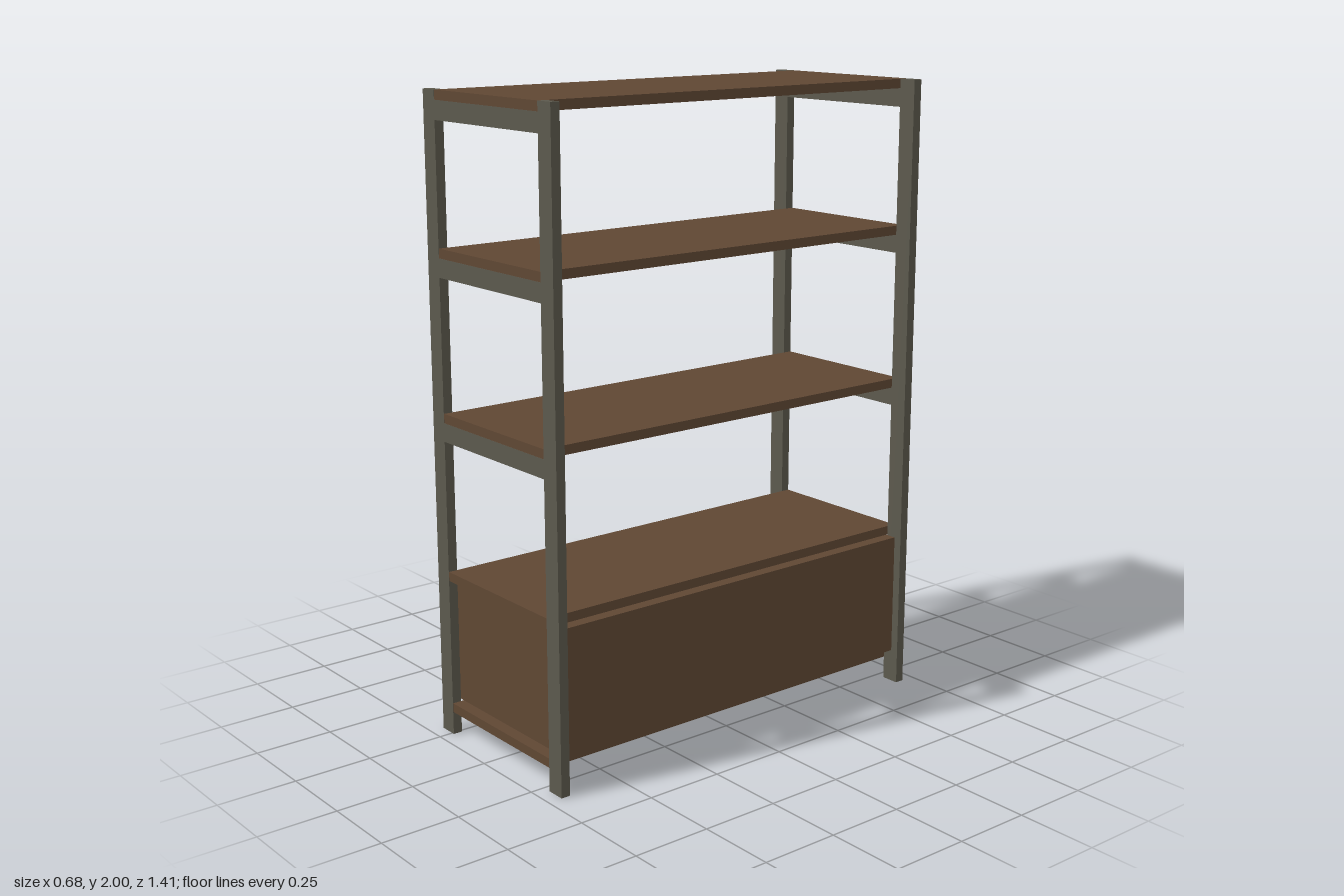
import * as THREE from 'three';

export function createModel() {
  const group = new THREE.Group();
  const wood = new THREE.MeshStandardMaterial({ color: 0x5f4733 });
  wood.name = 'dark wood';
  const steel = new THREE.MeshStandardMaterial({ color: 0x5c594d });
  steel.name = 'grey steel';

  // Box given by its lower and upper limits on each axis
  function box(name, material, [x0, x1], [y0, y1], [z0, z1]) {
    const mesh = new THREE.Mesh(new THREE.BoxGeometry(x1 - x0, y1 - y0, z1 - z0), material);
    mesh.position.set((x0 + x1) / 2, (y0 + y1) / 2, (z0 + z1) / 2);
    mesh.name = name;
    group.add(mesh);
  }

  const inner = [-0.241, 0.28];
  const shelfTops = [0.103, 0.536, 1.037, 1.538, 2];
  const thickness = 0.029;

  // Shelves run the full length between the posts
  for (const top of shelfTops) box('shelf', wood, inner, [top - thickness, top], [-0.704, 0.704]);

  // End frames: two posts, with a rail under each of the upper three shelves
  for (const z of [[-0.705, -0.675], [0.675, 0.705]]) {
    box('post', steel, [-0.301, -0.241], [0, 2], z);
    box('post', steel, [0.28, 0.34], [0, 2], z);
    for (const top of shelfTops.slice(2)) {
      box('rail', steel, inner, [top - thickness - 0.058, top - thickness], z);
    }
  }

  // Drawer body, standing slightly proud of the shelves
  box('drawer', wood, [-0.276, 0.316], [0.109, 0.506], [-0.672, 0.672]);

  // U-shaped drawer handle
  box('handleBar', steel, [-0.342, -0.316], [0.29, 0.305], [-0.12, 0.12]);
  for (const z of [[-0.12, -0.092], [0.092, 0.12]]) {
    box('handleArm', steel, [-0.316, -0.276], [0.29, 0.305], z);
  }

  return group;
}
